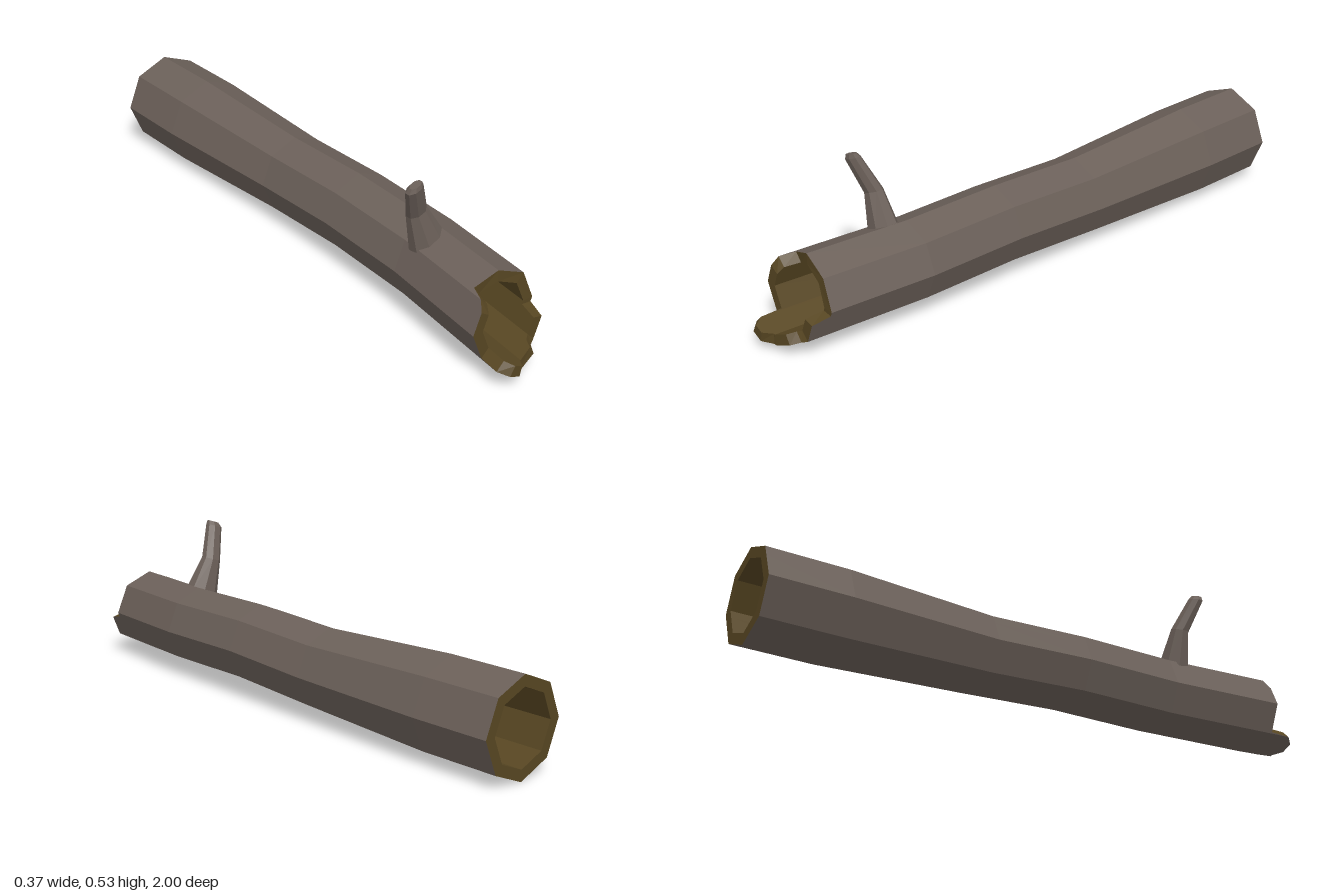
import * as THREE from 'three';

// Log cross-sections: z, centre x, centre y, radius
const SECTIONS = [
  [-1, 0.025, 0.164, 0.163], [-0.72, 0.025, 0.164, 0.163], [-0.2, 0.025, 0.165, 0.14],
  [0.15, 0.016, 0.179, 0.138], [0.5, 0.003, 0.173, 0.138], [1, -0.057, 0.166, 0.14],
];
// Broken front edge: position round the octagon (0 = +x, 2 = up), end z
const RIM = [
  [0, 0.86], [1, 0.855], [2, 0.845], [2.85, 0.83], [3, 0.88], [3.3, 0.9], [4, 0.9], [4.95, 0.9],
  [5, 0.97], [5.3, 1], [5.7, 1], [5.95, 0.97], [6, 0.97], [6.65, 0.96], [6.8, 0.93],
  [7, 0.92], [7.7, 0.92], [7.85, 0.86], [8, 0.86],
];
const WALL = 0.038;

function logPoint(u, z, inset) {
  let i = 0;
  while (i < SECTIONS.length - 2 && z > SECTIONS[i + 1][0]) i++;
  const a = SECTIONS[i], b = SECTIONS[i + 1];
  const [cx, cy, r] = [1, 2, 3].map(k => THREE.MathUtils.lerp(a[k], b[k], (z - a[0]) / (b[0] - a[0])));
  const k = Math.floor(u), t = u - k;
  const corner = n => new THREE.Vector2(Math.cos(n * Math.PI / 4), Math.sin(n * Math.PI / 4));
  const p = corner(k).lerp(corner(k + 1), t).multiplyScalar(r - inset);
  return new THREE.Vector3(cx + p.x, cy + p.y, z);
}

// Flat-shaded mesh from a list of corner points, three per triangle
function facets(name, points, material) {
  const g = new THREE.BufferGeometry().setFromPoints(points);
  g.computeVertexNormals();
  const mesh = new THREE.Mesh(g, material);
  mesh.name = name;
  return mesh;
}
const quad = (list, a, b, c, d) => list.push(a, b, c, a, c, d);

export function createModel() {
  const bark = new THREE.MeshStandardMaterial({ color: 0x6b6059 });
  bark.name = 'bark';
  const wood = new THREE.MeshStandardMaterial({ color: 0x574622 });
  wood.name = 'wood';
  const model = new THREE.Group();
  model.name = 'hollowLog';

  // Bark shell, hollow lining and both rims
  const outer = [], inner = [], front = [], back = [];
  for (let i = 0; i < RIM.length - 1; i++) {
    const [u0, e0] = RIM[i], [u1, e1] = RIM[i + 1];
    const P = (u, z) => logPoint(u, z, 0), Q = (u, z) => logPoint(u, z, WALL);
    for (let s = 0; s < SECTIONS.length - 1; s++) {
      const z = SECTIONS[s][0], last = s === SECTIONS.length - 2;
      const z0 = last ? e0 : SECTIONS[s + 1][0], z1 = last ? e1 : z0;
      quad(outer, P(u0, z), P(u1, z), P(u1, z1), P(u0, z0));
      quad(inner, Q(u0, z0), Q(u1, z1), Q(u1, z), Q(u0, z));
    }
    quad(front, P(u0, e0), P(u1, e1), Q(u1, e1), Q(u0, e0));
    quad(back, Q(u0, -1), Q(u1, -1), P(u1, -1), P(u0, -1));
  }
  model.add(
    facets('barkShell', outer, bark), facets('hollowLining', inner, wood),
    facets('brokenFrontRim', front, wood), facets('backRim', back, wood));

  // Wooden plug across the narrowest part of the hollow
  const plug = [], hub = new THREE.Vector3(0.025, 0.165, -0.2);
  for (let k = 0; k < 8; k++) {
    const a = logPoint(k, -0.2, WALL), b = logPoint(k + 1, -0.2, WALL);
    plug.push(hub, a, b, hub, b, a);
  }
  model.add(facets('innerPlug', plug, wood));

  // Bent branch stub: centre x, y, z, half width, half depth
  const stub = [
    [-0.05, 0.275, 0.55, 0.056, 0.044], [-0.096, 0.395, 0.548, 0.032, 0.027],
    [-0.143, 0.505, 0.587, 0.028, 0.021], [-0.143, 0.52, 0.592, 0.02, 0.014],
  ].map(([x, y, z, rx, rz]) => Array.from({ length: 8 }, (_, k) => {
    const a = (k + 0.5) * Math.PI / 4, s = 1 / Math.cos(Math.PI / 8);
    const dx = Math.cos(a) * rx * s;
    return new THREE.Vector3(x + dx, y + dx * 0.35, z - Math.sin(a) * rz * s);
  }));
  const branch = [];
  for (let k = 0; k < 8; k++) {
    const n = (k + 1) % 8;
    for (let s = 0; s < 3; s++) quad(branch, stub[s][k], stub[s][n], stub[s + 1][n], stub[s + 1][k]);
    if (k > 0 && k < 7) branch.push(stub[3][0], stub[3][k], stub[3][n]);
  }
  model.add(facets('branchStub', branch, bark));
  return model;
}
